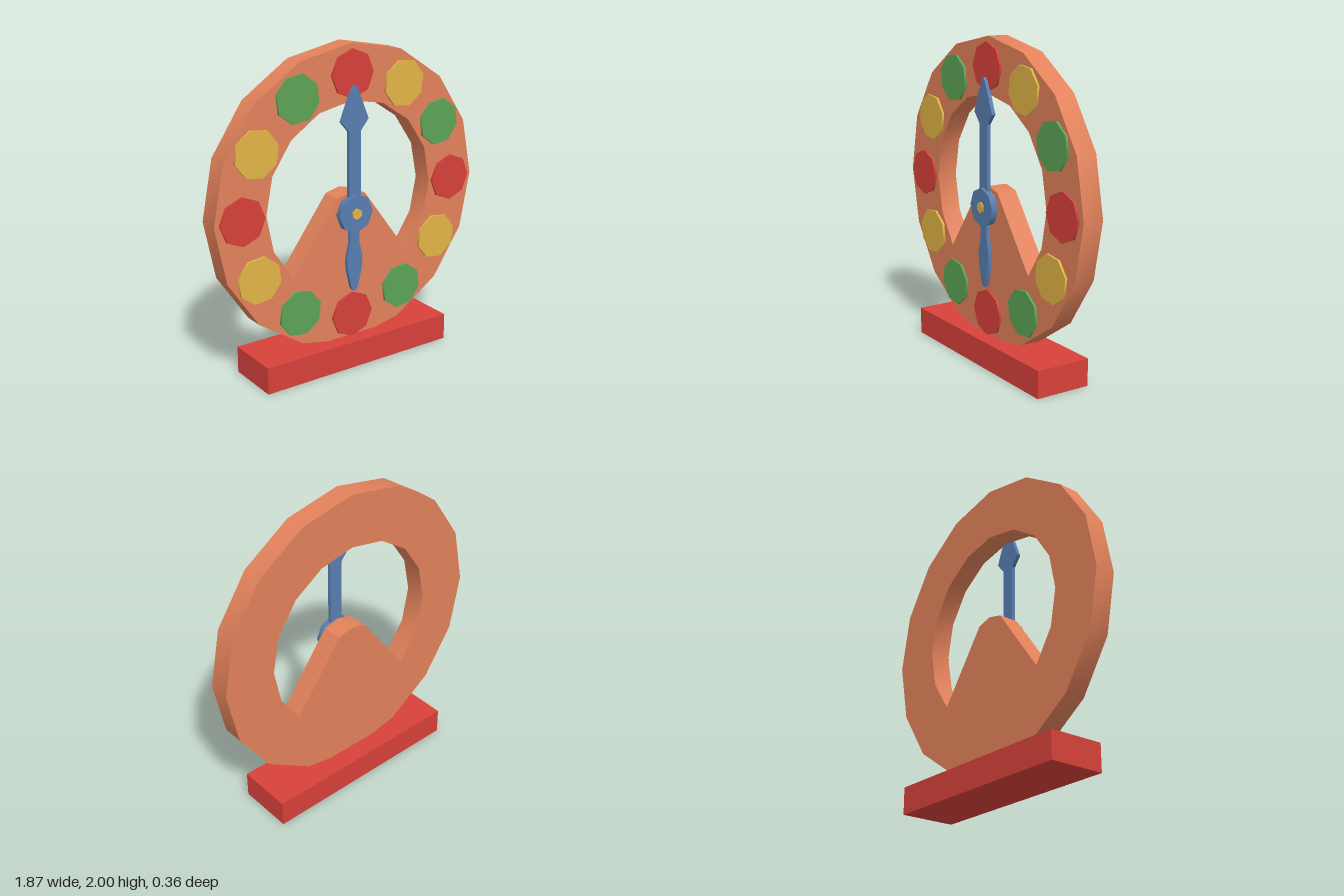
import * as THREE from 'three';
import { toCreasedNormals } from 'three/addons/utils/BufferGeometryUtils.js';

const material = (name, color) => new THREE.MeshStandardMaterial({ name, color });

// Mirrors a right-hand outline (listed from top to bottom) across x = 0.
function mirrored(points) {
  const left = points.filter(([x]) => x !== 0).map(([x, y]) => [-x, y]).reverse();
  return [...points, ...left].map(([x, y]) => new THREE.Vector2(x, y));
}

// Extrudes a shape between two depths, smoothing only shallow corners.
function slab(shape, back, front) {
  const geometry = new THREE.ExtrudeGeometry(shape, { depth: front - back, bevelEnabled: false });
  geometry.translate(0, 0, back);
  return toCreasedNormals(geometry, Math.PI / 6);
}

// Short cylinder facing +z between two depths.
function disc(radius, sides, back, front) {
  const geometry = new THREE.CylinderGeometry(radius, radius, front - back, sides);
  geometry.rotateX(Math.PI / 2);
  geometry.translate(0, 0, (back + front) / 2);
  return geometry;
}

export function createModel() {
  const model = new THREE.Group();
  model.name = 'toyClock';

  const wood = material('wood', 0xe3825b);
  const red = material('red', 0xd8413a);
  const yellow = material('yellow', 0xe2b546);
  const green = material('green', 0x5da456);
  const blue = material('blue', 0x597fb3);

  const add = (name, geometry, mat, x = 0, y = 0, z = 0) => {
    const mesh = new THREE.Mesh(geometry, mat);
    mesh.name = name;
    mesh.position.set(x, y, z);
    model.add(mesh);
    return mesh;
  };

  const ringY = 1.067;
  const hubY = 0.98;
  const faceFront = 0.076;

  // Base block
  add('base', new THREE.BoxGeometry(1.34, 0.17, 0.357), red, 0, 0.085, 0);

  // Sixteen-sided ring with a peaked web rising to the hub;
  // the rim runs anticlockwise and the opening clockwise so all walls face out
  const polar = (radius, i) => {
    const a = (i * Math.PI) / 8;
    return [radius * Math.sin(a), radius * Math.cos(a)];
  };
  const rim = [];
  for (let i = 0; i < 16; i++) rim.push(new THREE.Vector2(...polar(0.933, -i)));
  const ring = new THREE.Shape(rim);
  const opening = [];
  for (let i = 0; i <= 6; i++) opening.push(polar(0.595, i));
  opening.push([0.1, 0.013], [0, 0.038]);
  ring.holes.push(new THREE.Path(mirrored(opening)));
  add('clockRing', slab(ring, -0.055, faceFront), wood, 0, ringY, 0);

  // Twelve hour markers, clockwise from the top
  const markerColors = [red, yellow, green, red, yellow, green, red, green, yellow, red, yellow, green];
  const markerGeometry = disc(0.147, 8, faceFront - 0.01, 0.091);
  markerColors.forEach((mat, i) => {
    const a = (i * Math.PI) / 6;
    const marker = add(`hourMarker${i || 12}`, markerGeometry, mat,
      0.755 * Math.sin(a), ringY + 0.755 * Math.cos(a), 0);
    marker.rotation.z = -a;
  });

  // Long hand pointing up, short hand pointing down
  const longHand = [[0, 1.76], [0.018, 1.74], [0.05, 1.665], [0.096, 1.55], [0.042, 1.485], [0.042, hubY]];
  const shortHand = [[0.034, hubY], [0.034, 0.79], [0.056, 0.7], [0.054, 0.63], [0.027, 0.51], [0.012, 0.482], [0, 0.478]];
  add('longHand', slab(new THREE.Shape(mirrored(longHand)), 0.088, 0.112), blue);
  add('shortHand', slab(new THREE.Shape(mirrored(shortHand)), 0.088, 0.112), blue);

  // Hub and centre pin
  add('hub', disc(0.12, 8, 0.086, 0.129), blue, 0, hubY, 0);
  add('centrePin', disc(0.035, 6, 0.06, 0.139), yellow, 0, hubY, 0);

  return model;
}
